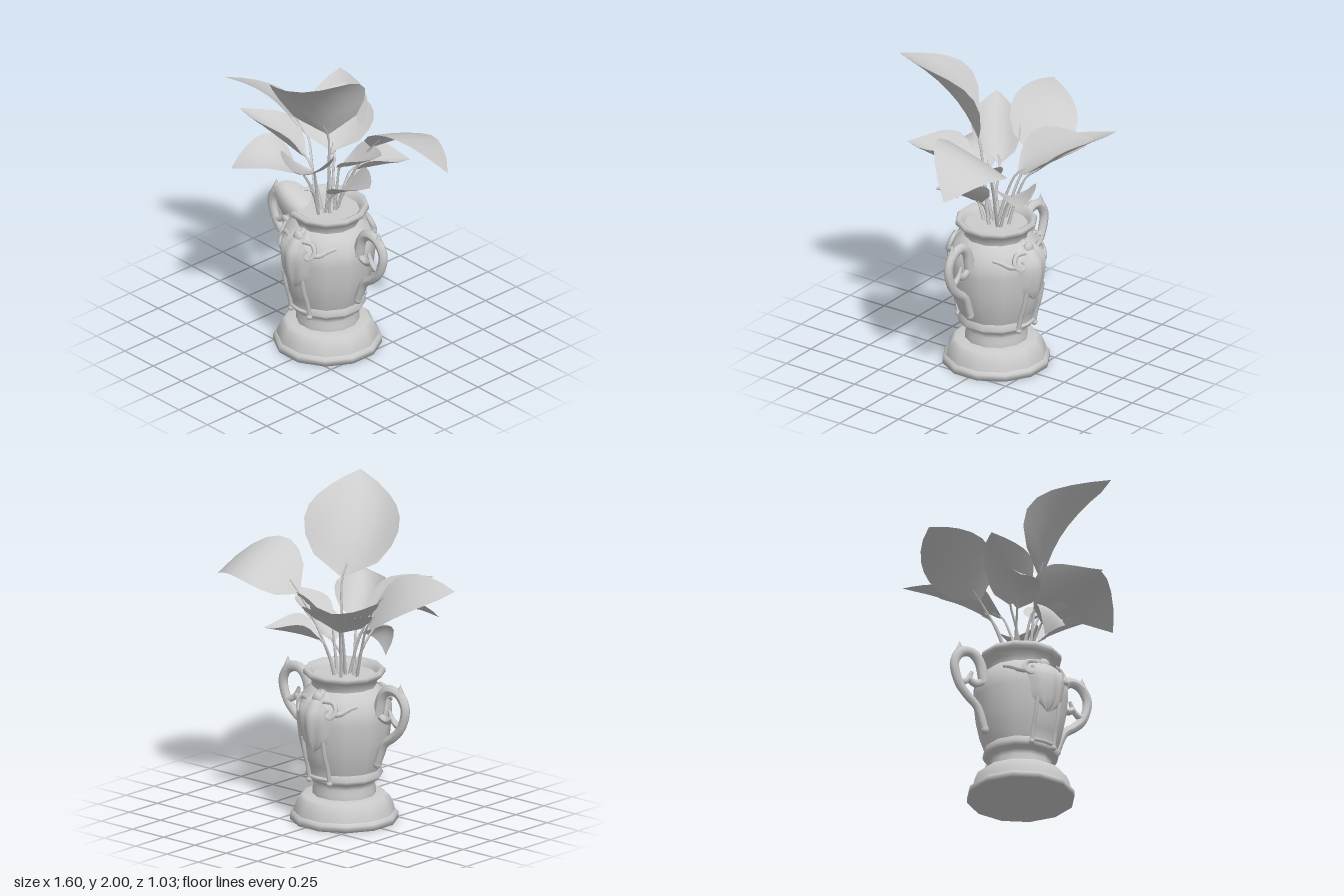
import * as THREE from 'three';

const V = (x, y, z) => new THREE.Vector3(x, y, z);
const grey = new THREE.MeshStandardMaterial({ color: 0xcccccc, side: THREE.DoubleSide });

function add(parent, geometry, name) {
  const mesh = new THREE.Mesh(geometry, grey);
  mesh.name = name;
  parent.add(mesh);
  return mesh;
}

// Surface from a rule: point(u, v) with u and v running 0..1
function sheet(point, nu, nv) {
  const geo = new THREE.PlaneGeometry(1, 1, nu, nv);
  const pos = geo.attributes.position;
  for (let i = 0; i < pos.count; i++) {
    const p = point(pos.getX(i) + 0.5, pos.getY(i) + 0.5);
    pos.setXYZ(i, p.x, p.y, p.z);
  }
  geo.computeVertexNormals();
  return geo;
}

// Tube along points, with a radius that varies by rule
function tube(points, radius, segments, sides, taper = () => 1) {
  const curve = new THREE.CatmullRomCurve3(points);
  const geo = new THREE.TubeGeometry(curve, segments, radius, sides);
  const pos = geo.attributes.position;
  const p = V(0, 0, 0);
  for (let i = 0; i < pos.count; i++) {
    const t = Math.floor(i / (sides + 1)) / segments;
    const c = curve.getPointAt(t);
    p.fromBufferAttribute(pos, i).sub(c).multiplyScalar(taper(t)).add(c);
    pos.setXYZ(i, p.x, p.y, p.z);
  }
  geo.computeVertexNormals();
  return geo;
}

// Body radius by height, used by the vase and its ornaments
const bodyProfile = [[0.218, 0.32], [0.25, 0.41], [0.273, 0.52], [0.286, 0.64], [0.284, 0.71], [0.25, 0.79], [0.192, 0.83]];
function bodyRadius(y) {
  for (let i = 1; i < bodyProfile.length; i++) {
    const [r0, y0] = bodyProfile[i - 1], [r1, y1] = bodyProfile[i];
    if (y <= y1) return r0 + (r1 - r0) * Math.max(0, y - y0) / (y1 - y0);
  }
  return 0.192;
}
const onBody = (x, y, lift = 0) => {
  const r = bodyRadius(y) + lift;
  return V(x, y, Math.sqrt(Math.max(0, r * r - x * x)));
};

function lathe(profile) {
  return new THREE.LatheGeometry(profile.map(([r, y]) => new THREE.Vector2(r, y)), 12, Math.PI / 12);
}

function createHandle() {
  const handle = new THREE.Group();
  handle.name = 'handle';
  const loop = [[0.27, 0.69], [0.305, 0.82], [0.36, 0.865], [0.44, 0.85], [0.488, 0.77],
    [0.455, 0.645], [0.39, 0.575], [0.32, 0.52], [0.265, 0.39]];
  add(handle, tube(loop.map(([x, y]) => V(x, y, 0)), 0.036, 36, 8, t => 1 - 0.3 * t), 'handleLoop');
  const curl = [[0.475, 0.65], [0.42, 0.66], [0.385, 0.69], [0.36, 0.74]];
  add(handle, tube(curl.map(([x, y]) => V(x, y, 0)), 0.028, 10, 6, t => 1 - 0.6 * t), 'handleCurl');
  const inner = [[0.385, 0.69], [0.34, 0.67], [0.27, 0.7]];
  add(handle, tube(inner.map(([x, y]) => V(x, y, 0)), 0.024, 8, 6), 'handleBridge');
  const spike = add(handle, new THREE.ConeGeometry(0.035, 0.08, 6), 'handleSpike');
  spike.position.set(0.45, 0.88, 0);
  const foot = add(handle, new THREE.SphereGeometry(0.027, 8, 6), 'handleFoot');
  foot.position.set(0.265, 0.385, 0);
  handle.scale.z = 0.8;
  return handle;
}

function createOrnament() {
  const ornament = new THREE.Group();
  ornament.name = 'ornament';
  // Bulging shield with a crest on top
  const outline = new THREE.SplineCurve([[0.01, 0.47], [0.1, 0.54], [0.125, 0.65], [0.15, 0.73],
    [0.11, 0.785], [0.015, 0.845]].map(p => new THREE.Vector2(...p)));
  add(ornament, sheet((u, v) => {
    const row = outline.getPoint(v), s = u * 2 - 1;
    const relief = 0.033 * Math.sin(Math.PI * Math.min(1, v + 0.1)) + 0.006 * Math.cos(s * 9);
    return onBody(s * row.x, row.y, (1 - s * s) * relief + 0.005);
  }, 14, 14), 'shield');
  const crest = add(ornament, new THREE.SphereGeometry(0.04, 8, 6), 'crest');
  crest.position.set(0, 0.795, 0.235);
  crest.scale.set(1, 1, 0.7);
  for (const side of [-1, 1]) {
    // Scrolls and swags beside the shield
    const scroll = [[0.06, 0.79], [0.12, 0.785], [0.145, 0.74], [0.12, 0.7], [0.09, 0.72], [0.1, 0.75]];
    add(ornament, tube(scroll.map(([x, y]) => onBody(side * x, y, 0.01)), 0.016, 20, 6), 'scroll');
    const swag = [[0.13, 0.72], [0.17, 0.725], [0.2, 0.75], [0.225, 0.765]];
    add(ornament, tube(swag.map(([x, y]) => onBody(side * x, y, 0.002)), 0.019, 10, 6, t => 1 - 0.5 * t), 'swag');
    // Upright bars of the lower frame
    const bar = [0.55, 0.45, 0.36, 0.28].map(y => onBody(side * 0.08, y, 0.016));
    add(ornament, tube(bar, 0.014, 10, 6), 'frameBar');
    const foot = add(ornament, new THREE.SphereGeometry(0.019, 8, 6), 'frameFoot');
    foot.position.copy(onBody(side * 0.08, 0.275, 0.018));
  }
  add(ornament, tube([-0.08, 0, 0.08].map(x => onBody(x, 0.295, 0.014)), 0.013, 8, 6), 'frameCrossbar');
  add(ornament, sheet((u, v) => onBody((u - 0.5) * 0.16, 0.29 + v * 0.24, 0.012), 4, 6), 'framePanel');
  return ornament;
}

function createVase() {
  const vase = new THREE.Group();
  vase.name = 'vase';
  add(vase, lathe([[0, 0], [0.325, 0], [0.325, 0.035], [0.304, 0.05]]), 'plinthFoot');
  add(vase, lathe([[0.304, 0.05], [0.294, 0.09], [0.274, 0.135], [0.25, 0.155], [0.185, 0.16]]), 'plinth');
  add(vase, lathe([[0.19, 0.155], [0.19, 0.19], [0.183, 0.22], [0.187, 0.25], [0.221, 0.262], [0.233, 0.285], [0.218, 0.32]]), 'neckRing');
  add(vase, lathe(bodyProfile), 'body');
  add(vase, lathe([[0.192, 0.825], [0.197, 0.86], [0.227, 0.89], [0.246, 0.905], [0.246, 0.925], [0.233, 0.94],
    [0.205, 0.925], [0.19, 0.89]]), 'rim');
  const soil = add(vase, new THREE.CircleGeometry(0.196, 12), 'soil');
  soil.rotation.x = -Math.PI / 2;
  soil.position.y = 0.895;
  for (const turn of [0, Math.PI]) {
    const handle = createHandle();
    const ornament = createOrnament();
    handle.rotation.y = ornament.rotation.y = turn;
    vase.add(handle, ornament);
  }
  vase.position.set(-0.03, 0, 0.02);
  return vase;
}

// Each leaf: base, tip, then half width, roll, arch of the rib, cupping and sideways sway
const leaves = [
  [[0.05, 1.46, 0.09], [0.28, 2, 0.51], 0.285, -0.18, 0.05, 0.14, 0.05],
  [[-0.28, 1.26, -0.05], [-0.8, 1.53, 0.15], 0.21, -0.45, 0.07, 0.03, 0.04],
  [[-0.13, 1.2, -0.13], [-0.51, 1.46, -0.52], 0.19, 0.2, 0.03, 0.06, 0],
  [[-0.1, 1.22, -0.08], [-0.39, 1.44, -0.44], 0.23, -0.05, 0.01, 0.09, 0],
  [[0.22, 1.37, -0.1], [0.8, 1.4, -0.19], 0.235, 0.38, 0.175, -0.01, 0],
  [[0.02, 1.13, -0.13], [0.27, 1.21, -0.37], 0.13, 0, 0.01, 0.09, 0],
  [[0.08, 1.06, 0.05], [0.45, 1.27, 0.12], 0.135, -0.25, 0.01, 0.07, 0],
  [[-0.15, 1.17, 0.15], [-0.37, 1.21, 0.49], 0.14, 0.4, 0.09, 0.03, 0],
  [[-0.15, 1.22, 0.08], [-0.47, 1.52, 0.33], 0.15, -0.1, 0.02, 0.09, -0.02],
  [[-0.02, 1.2, 0.14], [0.24, 1.41, 0.48], 0.16, 0.05, -0.01, 0.12, 0.02],
  [[0.06, 1.22, 0], [0.37, 1.4, -0.05], 0.12, -0.18, -0.01, 0.07, 0],
  [[0, 1.1, 0.19], [-0.08, 0.95, 0.335], 0.115, 0.6, 0.12, -0.03, -0.04],
];

function createLeaf([from, to, halfWidth, roll, arch, cup, sway], index) {
  const leaf = new THREE.Group();
  leaf.name = 'leafWithStem';
  const base = V(...from), tip = V(...to);
  const axis = tip.clone().sub(base).normalize();
  const side = axis.clone().cross(V(0, 1, 0)).normalize();
  const normal = side.clone().cross(axis);
  // A positive roll lifts the right-hand edge
  const across = side.clone().applyAxisAngle(axis, roll).multiplyScalar(halfWidth);
  if (across.dot(normal) * roll < 0) across.reflect(normal);
  const control = base.clone().lerp(tip, 0.5).addScaledVector(normal, arch * 2).addScaledVector(side, sway * 2);
  const rib = new THREE.QuadraticBezierCurve3(base, control, tip);
  add(leaf, sheet((u, t) => {
    const width = Math.pow(Math.max(0, Math.sin(Math.PI * Math.pow(t, 0.75))), 0.8);
    const s = (u * 2 - 1) * width;
    return rib.getPoint(t).addScaledVector(across, s).addScaledVector(normal, cup * s * s);
  }, 6, 8), 'leaf');

  // Stem rises out of the soil and bends toward the leaf
  const angle = index * 2.4;
  const root = V(-0.03 + base.x * 0.25 + 0.03 * Math.cos(angle), 0.87, 0.02 + base.z * 0.25 + 0.03 * Math.sin(angle));
  const bend = root.clone().lerp(base, 0.5);
  bend.y += 0.04;
  add(leaf, tube([root, bend, base, rib.getPoint(0.12)], 0.01, 10, 5, t => 1.1 - 0.5 * t), 'stem');
  return leaf;
}

export function createModel() {
  const model = new THREE.Group();
  model.name = 'pottedPlant';
  model.add(createVase());
  const plant = new THREE.Group();
  plant.name = 'plant';
  leaves.forEach((settings, i) => plant.add(createLeaf(settings, i)));
  model.add(plant);
  return model;
}
